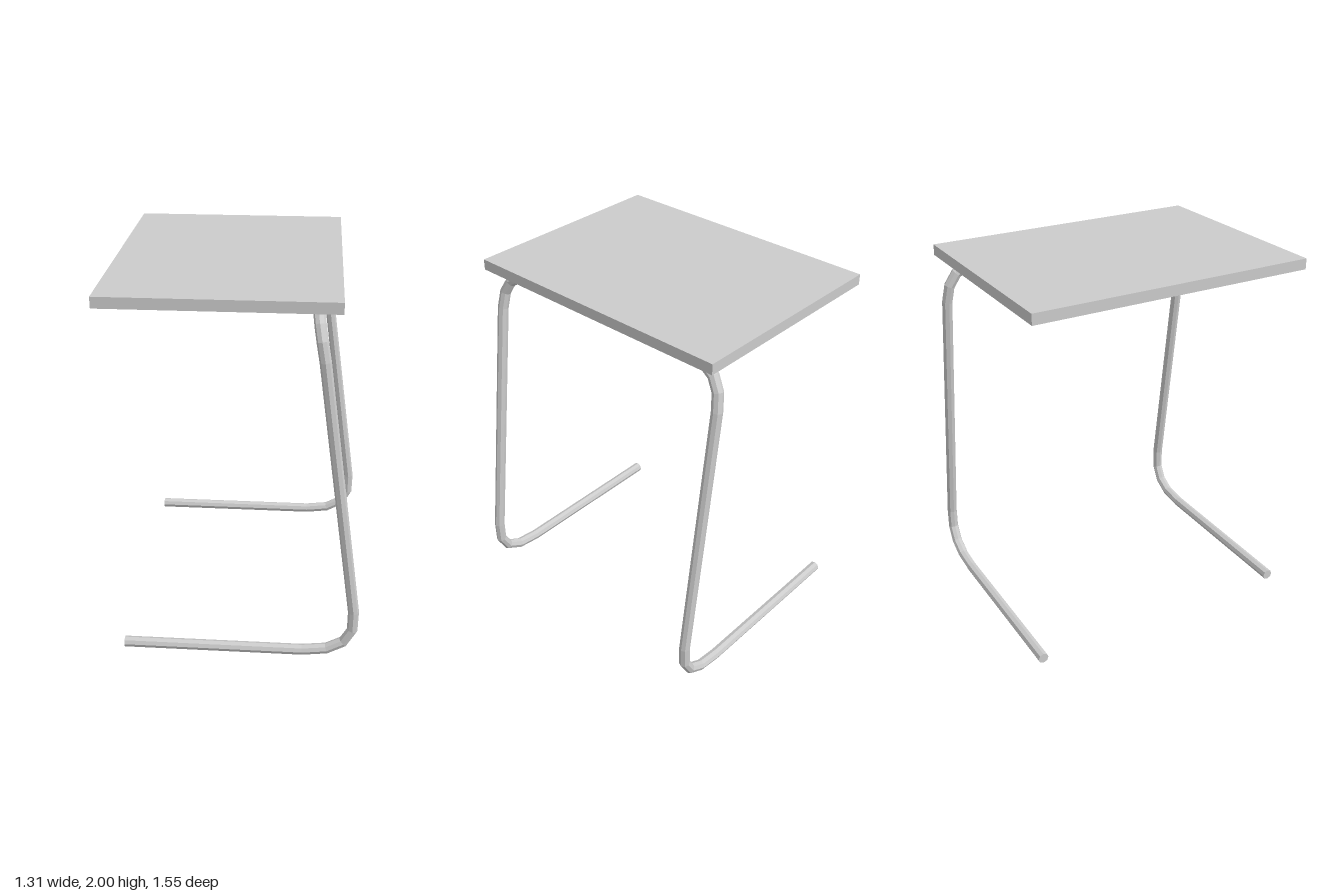
import * as THREE from 'three';

const V = (x, y, z) => new THREE.Vector3(x, y, z);
const RADIUS = 0.029, SIDES = 8, BEND = 4;

// Curve through given points, one tube ring per point, mitred at the corners
class PolylineCurve extends THREE.Curve {
  constructor(points) {
    super();
    this.points = points;
  }
  getPoint(t, target = V(0, 0, 0)) {
    return target.copy(this.points[Math.round(t * (this.points.length - 1))]);
  }
  getPointAt(t, target) {
    return this.getPoint(t, target);
  }
  getTangentAt(t, target = V(0, 0, 0)) {
    const p = this.points, n = p.length - 1, i = Math.round(t * n);
    target.set(0, 0, 0);
    if (i > 0) target.add(p[i].clone().sub(p[i - 1]).normalize());
    if (i < n) target.add(p[i + 1].clone().sub(p[i]).normalize());
    return target.normalize();
  }
}

const bend = (a, corner, b) => new THREE.QuadraticBezierCurve3(a, corner, b).getPoints(BEND);

export function createModel() {
  const group = new THREE.Group();
  const material = new THREE.MeshStandardMaterial({ color: 0xcccccc, flatShading: true });

  // Table top
  const top = new THREE.Mesh(new THREE.BoxGeometry(1.165, 0.057, 1.54), material);
  top.name = 'tableTop';
  top.position.set(-0.077, 1.9715, 0);
  group.add(top);

  // Half of the bent frame: foot, lower bend, leg, upper bend
  const z = 0.746, foot = 0.03;
  const half = [
    V(-0.6, foot, z),
    ...bend(V(0.36, foot, z), V(0.665, foot, z), V(0.625, 0.29, z)),
    ...bend(V(0.43, 1.7, z), V(0.391, 1.914, z), V(0.391, 1.914, 0.54)),
  ];
  const path = [...half, ...half.map(p => V(p.x, p.y, -p.z)).reverse()];
  const frame = new THREE.Mesh(
    new THREE.TubeGeometry(new PolylineCurve(path), path.length - 1, RADIUS, SIDES, false), material);
  frame.name = 'tubeFrame';
  group.add(frame);

  // Caps on the foot ends
  for (const side of [1, -1]) {
    const cap = new THREE.Mesh(new THREE.CircleGeometry(RADIUS, SIDES), material);
    cap.name = side > 0 ? 'frontFootCap' : 'backFootCap';
    cap.rotation.y = -Math.PI / 2;
    cap.position.set(-0.6, foot, side * z);
    group.add(cap);
  }
  return group;
}
